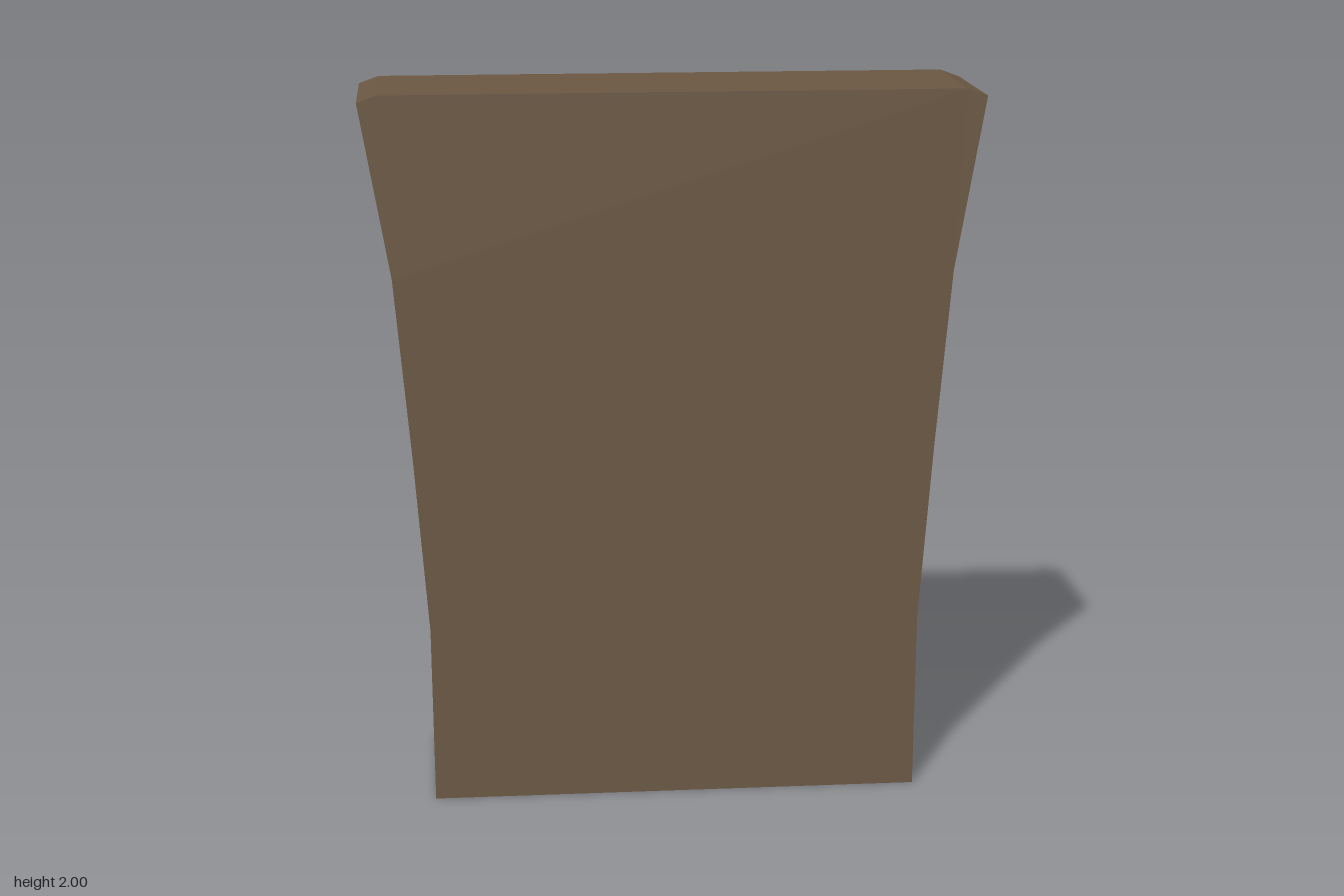
import * as THREE from 'three';
import { toCreasedNormals } from 'three/addons/utils/BufferGeometryUtils.js';

const mat = (name, color, side = THREE.FrontSide) => {
  const m = new THREE.MeshStandardMaterial({ color, side });
  m.name = name;
  return m;
};

// Half width of the flared case at height y
const PROFILE = [[0.685, 0], [0.69, 0.5], [0.728, 1], [0.772, 1.5], [0.855, 1.98]];
function halfWidth(y) {
  for (let i = 1; i < PROFILE.length; i++) {
    const [x0, y0] = PROFILE[i - 1], [x1, y1] = PROFILE[i];
    if (y <= y1) return x0 + (x1 - x0) * (y - y0) / (y1 - y0);
  }
  return 0.855;
}

// Mirrored outline from points on the +x side
function outline(points, Type) {
  const all = [...points, ...points.map(([x, y]) => [-x, y]).reverse()];
  return new Type(all.map(([x, y]) => new THREE.Vector2(x, y)));
}

export function createModel() {
  const M = {
    wood: mat('caseWood', 0x6a5743),
    pale: mat('propWood', 0x735c46, THREE.DoubleSide),
    metal: mat('iron', 0x586167),
    red: mat('redCover', 0x921c20),
    green: mat('greenCover', 0x596a2a),
    tan: mat('tanCover', 0x815a2d),
    plum: mat('plumCover', 0x734541),
  };
  const root = new THREE.Group();
  root.name = 'bookcase';
  const add = (parent, name, geo, material, x = 0, y = 0, z = 0) => {
    const m = new THREE.Mesh(geo, material);
    m.name = name;
    m.position.set(x, y, z);
    parent.add(m);
    return m;
  };

  // Case: hollow frame plus closed panel, thinner in depth towards the top
  const slab = (shape, z0, z1) => {
    const g = new THREE.ExtrudeGeometry(shape, { depth: z1 - z0, bevelEnabled: false });
    g.translate(0, 0, z0);
    const p = g.attributes.position;
    for (let i = 0; i < p.count; i++) p.setZ(i, p.getZ(i) * (1 - 0.07 * p.getY(i)));
    g.computeVertexNormals();
    return g;
  };
  const outer = () => outline([...PROFILE, [0.8, 2]], THREE.Shape);
  const frame = outer();
  frame.holes.push(outline([0.04, 0.5, 1, 1.5, 1.955].map(y => [halfWidth(y) - 0.045, y]), THREE.Path));
  add(root, 'caseFrame', slab(frame, -0.24, 0.19), M.wood);
  add(root, 'casePanel', slab(outer(), 0.19, 0.24), M.wood);

  // Shelves
  const SHELF = [0.715, 1.235, 1.63];
  SHELF.forEach((y, i) => {
    add(root, 'shelf' + (i + 1), new THREE.BoxGeometry(2 * halfWidth(y - 0.05) - 0.07, 0.06, 0.385), M.wood, 0, y - 0.03, 0);
  });

  // Book standing on y = 0 with its rounded spine towards -z
  function bookGeometry(thick, tall, depth) {
    const t = thick / 2, bulge = Math.min(0.035, thick * 0.3);
    const s = new THREE.Shape();
    s.moveTo(-t, -depth / 2);
    s.lineTo(t, -depth / 2);
    s.lineTo(t, depth / 2 - bulge);
    s.quadraticCurveTo(t * 0.8, depth / 2, 0, depth / 2);
    s.quadraticCurveTo(-t * 0.8, depth / 2, -t, depth / 2 - bulge);
    s.closePath();
    const g = new THREE.ExtrudeGeometry(s, { depth: tall, bevelEnabled: false, curveSegments: 4 });
    g.rotateX(-Math.PI / 2);
    return toCreasedNormals(g, 0.7);
  }
  const books = new THREE.Group();
  books.name = 'books';
  root.add(books);

  // Upright row from x towards -x; each entry is [colour, thickness, height, lean]
  function row(x, y, list, depth = 0.26) {
    for (const [c, w, h, lean = 0] of list) {
      const b = add(books, c + 'Book', bookGeometry(w * 0.97, h, depth), M[c], x - w / 2, y, 0.01);
      b.rotation.z = lean;
      b.position.y += Math.abs(Math.sin(lean)) * w / 2;
      x -= w;
    }
  }
  // Lying stack, bottom first; each entry is [colour, thickness, length, turn, shift]
  function stack(x, y, list, depth = 0.26) {
    for (const [c, t, len, turn = 0, shift = 0] of list) {
      const g = bookGeometry(t * 0.98, len, depth);
      g.rotateZ(Math.PI / 2);
      g.translate(len / 2, 0, 0);
      const b = add(books, c + 'LyingBook', g, M[c], x + shift, y + t / 2, 0.01);
      b.rotation.y = turn;
      y += t;
    }
  }

  // Top shelf
  stack(0.51, SHELF[2], [['plum', 0.055, 0.39], ['red', 0.06, 0.4, 0.04], ['red', 0.06, 0.39, -0.05], ['tan', 0.05, 0.36, 0.05]]);
  stack(0.07, SHELF[2], [['tan', 0.125, 0.43, 0, -0.02], ['green', 0.135, 0.42, -0.05, 0.03]]);
  row(-0.2, SHELF[2], [['red', 0.055, 0.26, -0.22], ['red', 0.05, 0.23, -0.22], ['green', 0.04, 0.25, -0.2],
    ['plum', 0.055, 0.25, -0.18], ['green', 0.04, 0.24, -0.16]].map(([c, w, h, l]) => [c, w, h, -l]).map(([c, w, h, l]) => [c, w, h, -l]), 0.24);
  stack(-0.57, SHELF[2], [['red', 0.05, 0.28], ['green', 0.05, 0.28, 0.06], ['green', 0.045, 0.27, -0.05],
    ['tan', 0.05, 0.28, 0.05], ['tan', 0.045, 0.26, -0.06]]);

  // Middle shelf
  stack(0.49, SHELF[1], [['green', 0.085, 0.4, 0.03], ['tan', 0.085, 0.37, -0.05], ['plum', 0.09, 0.41, 0.03]]);
  row(0.2, SHELF[1], [['tan', 0.05, 0.26, -0.18], ['plum', 0.05, 0.25, -0.16], ['green', 0.055, 0.27, -0.14], ['plum', 0.06, 0.25, -0.06],
    ['red', 0.065, 0.28], ['red', 0.05, 0.26], ['plum', 0.045, 0.26], ['green', 0.05, 0.27], ['tan', 0.045, 0.25],
    ['green', 0.045, 0.26], ['plum', 0.05, 0.26], ['red', 0.055, 0.28]]);
  stack(-0.535, SHELF[1], [['red', 0.12, 0.29, 0.06]]);

  // Lower shelf
  row(0.69, SHELF[0], [['green', 0.15, 0.37], ['tan', 0.15, 0.37], ['plum', 0.15, 0.36], ['red', 0.155, 0.37, -0.04]], 0.27);
  row(-0.12, SHELF[0], [['green', 0.1, 0.35, 0.3]]);
  stack(-0.47, SHELF[0], [['plum', 0.12, 0.35], ['red', 0.12, 0.34, 0.08], ['green', 0.1, 0.31, -0.08, -0.02]]);

  // Chest with arched lid
  const chest = new THREE.Group();
  chest.name = 'chest';
  chest.position.set(0.27, 0.04, 0.02);
  chest.rotation.y = -0.27;
  root.add(chest);
  const archGeometry = (r, len) => {
    const g = new THREE.CylinderGeometry(r, r, len, 12, 1, false, 0, Math.PI);
    g.rotateZ(Math.PI / 2);
    return g;
  };
  add(chest, 'chestBody', new THREE.BoxGeometry(0.36, 0.16, 0.23), M.pale, 0, 0.08, 0);
  add(chest, 'chestLid', archGeometry(0.115, 0.36), M.pale, 0, 0.16, 0);
  for (const x of [-0.165, -0.06, 0.06, 0.165]) {
    const wide = Math.abs(x) > 0.1 ? 0.03 : 0.022;
    add(chest, 'lidStrap', archGeometry(0.125, wide), M.metal, x, 0.16, 0);
    for (const z of [-0.118, 0.118]) add(chest, 'bodyStrap', new THREE.BoxGeometry(wide, 0.16, 0.014), M.metal, x, 0.08, z);
  }
  for (const z of [-0.118, 0.118]) add(chest, 'rimBand', new THREE.BoxGeometry(0.365, 0.022, 0.016), M.metal, 0, 0.155, z);
  for (const x of [-0.182, 0.182]) add(chest, 'endBand', new THREE.BoxGeometry(0.012, 0.022, 0.24), M.metal, x, 0.155, 0);
  add(chest, 'lock', new THREE.BoxGeometry(0.045, 0.05, 0.02), M.metal, 0, 0.145, -0.122);

  // Bucket with two raised staves and iron hoops
  const bucket = new THREE.Group();
  bucket.name = 'bucket';
  bucket.position.set(-0.35, 0.04, -0.03);
  bucket.rotation.y = -0.3;
  root.add(bucket);
  const walls = [[0, 0], [0.16, 0], [0.192, 0.39], [0.168, 0.39], [0.142, 0.04], [0, 0.04]].map(([x, y]) => new THREE.Vector2(x, y));
  add(bucket, 'bucketWall', toCreasedNormals(new THREE.LatheGeometry(walls, 20), 0.6), M.pale);
  for (const [y, r] of [[0.09, 0.168], [0.29, 0.184]]) {
    const hoop = new THREE.TorusGeometry(r, 0.016, 6, 24);
    hoop.rotateX(Math.PI / 2);
    hoop.scale(1, 1.5, 1);
    add(bucket, 'hoop', hoop, M.metal, 0, y, 0);
  }
  const ear = new THREE.Shape([[-0.05, 0], [0.05, 0], [0.05, 0.09], [0.035, 0.11], [-0.035, 0.11], [-0.05, 0.09]].map(([x, y]) => new THREE.Vector2(x, y)));
  ear.holes.push(new THREE.Path().absarc(0, 0.065, 0.018, 0, Math.PI * 2, true));
  for (const s of [-1, 1]) {
    const g = new THREE.ExtrudeGeometry(ear, { depth: 0.024, bevelEnabled: false, curveSegments: 6 });
    g.translate(0, 0, -0.012);
    g.rotateY(Math.PI / 2);
    add(bucket, 'ear', g, M.pale, s * 0.178, 0.375, 0);
  }
  return root;
}
